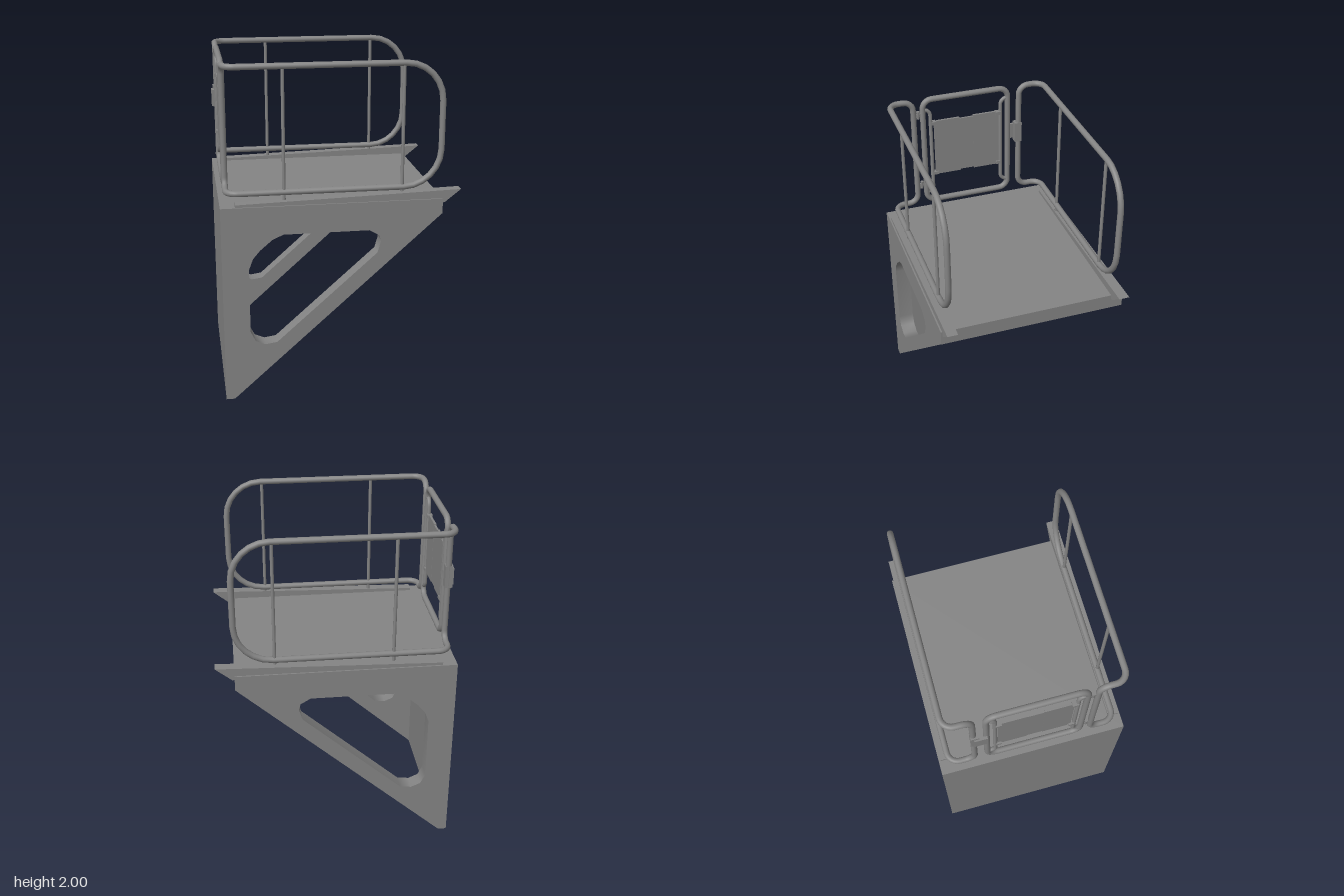
import * as THREE from 'three';

const grey = new THREE.MeshStandardMaterial({ color: 0x848484 });
const sheet = new THREE.MeshStandardMaterial({ color: 0x848484, side: THREE.DoubleSide });
const V = (x, y, z) => new THREE.Vector3(x, y, z);

function add(parent, name, geometry, material = grey) {
  const mesh = new THREE.Mesh(geometry, material);
  mesh.name = name;
  parent.add(mesh);
  return mesh;
}

// Box given by its lower and upper corners
function box(parent, name, [x0, y0, z0], [x1, y1, z1]) {
  add(parent, name, new THREE.BoxGeometry(x1 - x0, y1 - y0, z1 - z0))
    .position.set((x0 + x1) / 2, (y0 + y1) / 2, (z0 + z1) / 2);
}

// Flat sheet in the xy plane at depth z
function skin(parent, name, outline, z, hole) {
  const toV2 = (list) => list.map(([x, y]) => new THREE.Vector2(x, y));
  const shape = new THREE.Shape(toV2(outline));
  if (hole) shape.holes.push(new THREE.Path(toV2(hole)));
  add(parent, name, new THREE.ShapeGeometry(shape), sheet).position.z = z;
}

// Smooth strip that follows an xy line between two depths, facing away from the left of the line
function strip(parent, name, line, z0, z1, closed) {
  const pos = line.flatMap(([x, y]) => [x, y, Math.min(z0, z1), x, y, Math.max(z0, z1)]);
  const index = [];
  const n = line.length;
  for (let i = 0; i < (closed ? n : n - 1); i++) {
    const a = 2 * i, b = 2 * ((i + 1) % n);
    index.push(a, a + 1, b + 1, a, b + 1, b);
  }
  const g = new THREE.BufferGeometry();
  g.setAttribute('position', new THREE.Float32BufferAttribute(pos, 3));
  g.setIndex(index);
  g.computeVertexNormals();
  add(parent, name, g, sheet);
}

// Bent tube through corners [x, y, z, bendRadius]
function bentTube(parent, name, corners, radius, closed) {
  const pts = [];
  const n = corners.length;
  corners.forEach(([x, y, z, r], i) => {
    const c = V(x, y, z);
    if (!r) { pts.push(c); return; }
    const a = V(...corners[(i + n - 1) % n].slice(0, 3)).sub(c).normalize();
    const b = V(...corners[(i + 1) % n].slice(0, 3)).sub(c).normalize();
    const tangent = r / Math.tan(a.angleTo(b) / 2);
    const p = c.clone().addScaledVector(a, tangent);
    const q = c.clone().addScaledVector(b, tangent);
    const k = 0.5523;
    const bend = new THREE.CubicBezierCurve3(p, p.clone().lerp(c, k), q.clone().lerp(c, k), q);
    pts.push(...bend.getPoints(6));
  });
  const curve = new THREE.CatmullRomCurve3(pts, closed);
  curve.getUtoTmapping = (u) => u; // one ring per path point
  const segments = closed ? pts.length : pts.length - 1;
  add(parent, name, new THREE.TubeGeometry(curve, segments, radius, 12, closed), closed ? grey : sheet);
}

export function createModel() {
  const model = new THREE.Group();
  model.name = 'accessPlatform';

  // Base: deck slab, back wall and hollow triangular sides
  const base = new THREE.Group();
  base.name = 'base';
  model.add(base);
  box(base, 'deck', [-0.7, 1.106, -0.554], [0.587, 1.195, 0.554]);
  box(base, 'backWall', [-0.7, 0, -0.554], [-0.65, 1.12, 0.554]);
  const outline = [[-0.7, 0], [-0.65, 0], [0.587, 1.108], [0.587, 1.195], [-0.7, 1.195]];
  const hole = [[-0.546, 0.43], [-0.517, 0.37], [-0.46, 0.345], [-0.39, 0.355], [0.205, 0.885],
    [0.225, 0.955], [0.215, 0.99], [0.155, 1.025], [-0.345, 1.025], [-0.41, 0.995],
    [-0.48, 0.935], [-0.522, 0.885], [-0.546, 0.82]];

  // Kerb profile, rising towards the nose
  const kerb = [[-0.615, 1.195], [0.587, 1.195], [0.587, 1.17], [0.6, 1.17], [0.695, 1.246], [-0.615, 1.21]];

  const topY = 1.982, lowY = 1.262, backX = -0.66;
  for (const s of [1, -1]) {
    const side = s > 0 ? 'left' : 'right';
    skin(base, side + 'OuterPanel', outline, s * 0.555, hole);
    skin(base, side + 'InnerPanel', outline, s * 0.461, hole);
    strip(base, side + 'OpeningLining', hole, s * 0.461, s * 0.555, true);

    // Kerb channel, open underneath
    skin(model, side + 'KerbOuter', kerb, s * 0.545);
    skin(model, side + 'KerbInner', kerb, s * 0.483);
    strip(model, side + 'KerbTop', [kerb[5], kerb[4]], s * 0.483, s * 0.545, false);
    strip(model, side + 'KerbEnd', [kerb[0], kerb[5]], s * 0.483, s * 0.545, false);

    // Handrail loop that wraps round the back corner
    const z = s * 0.498, zi = s * 0.345;
    bentTube(model, side + 'Handrail', [
      [0.583, topY, z, 0.22], [backX, topY, z, 0.065], [backX, topY, zi, 0.06],
      [backX, lowY, zi, 0.06], [backX, lowY, z, 0.065], [0.583, lowY, z, 0.22],
    ], 0.018, true);

    for (const x of [-0.332, 0.355]) {
      add(model, side + 'Post', new THREE.CylinderGeometry(0.01, 0.01, 0.76, 10)).position.set(x, 1.595, z);
    }
  }

  // Gate in the back opening
  const gate = new THREE.Group();
  gate.name = 'gate';
  model.add(gate);
  const zl = 0.285, zr = -0.27;
  bentTube(gate, 'gateFrame', [
    [backX, topY, zl, 0.06], [backX, topY, zr, 0.06], [backX, lowY, zr, 0.06], [backX, lowY, zl, 0.06],
  ], 0.018, true);
  for (const [frameZ, barZ] of [[zl, 0.238], [zr, -0.222]]) {
    bentTube(gate, 'gateBar', [
      [backX, 1.915, frameZ, 0], [backX, 1.915, barZ, 0.042],
      [backX, 1.325, barZ, 0.042], [backX, 1.325, frameZ, 0],
    ], 0.012, false);
    // Clips that hold the panel to the bars
    for (const y of [1.462, 1.818]) {
      const inner = barZ - Math.sign(barZ) * 0.035;
      box(gate, 'panelClip', [-0.677, y - 0.01, Math.min(barZ, inner)], [-0.645, y + 0.01, Math.max(barZ, inner)]);
    }
  }

  // Panel with shallow notches in its upper and lower edges
  box(gate, 'gatePanel', [-0.666, 1.458, -0.207], [-0.654, 1.822, 0.217]);
  for (const [z0, z1] of [[-0.19, -0.04], [0.05, 0.2]]) {
    box(gate, 'panelTab', [-0.667, 1.451, z0], [-0.653, 1.83, z1]);
  }

  // Hinges
  for (const y of [1.385, 1.885]) {
    box(gate, 'hingeLeaf', [-0.667, y - 0.012, 0.285], [-0.653, y + 0.012, 0.345]);
    add(gate, 'hingePin', new THREE.CylinderGeometry(0.01, 0.01, 0.05, 10)).position.set(backX, y, 0.315);
  }

  // Latch: body on the rail, plate reaching behind the gate frame
  box(gate, 'latchPlate', [-0.694, 1.61, -0.345], [-0.678, 1.71, -0.27]);
  box(gate, 'latchBody', [-0.685, 1.597, -0.362], [-0.64, 1.73, -0.315]);
  return model;
}
